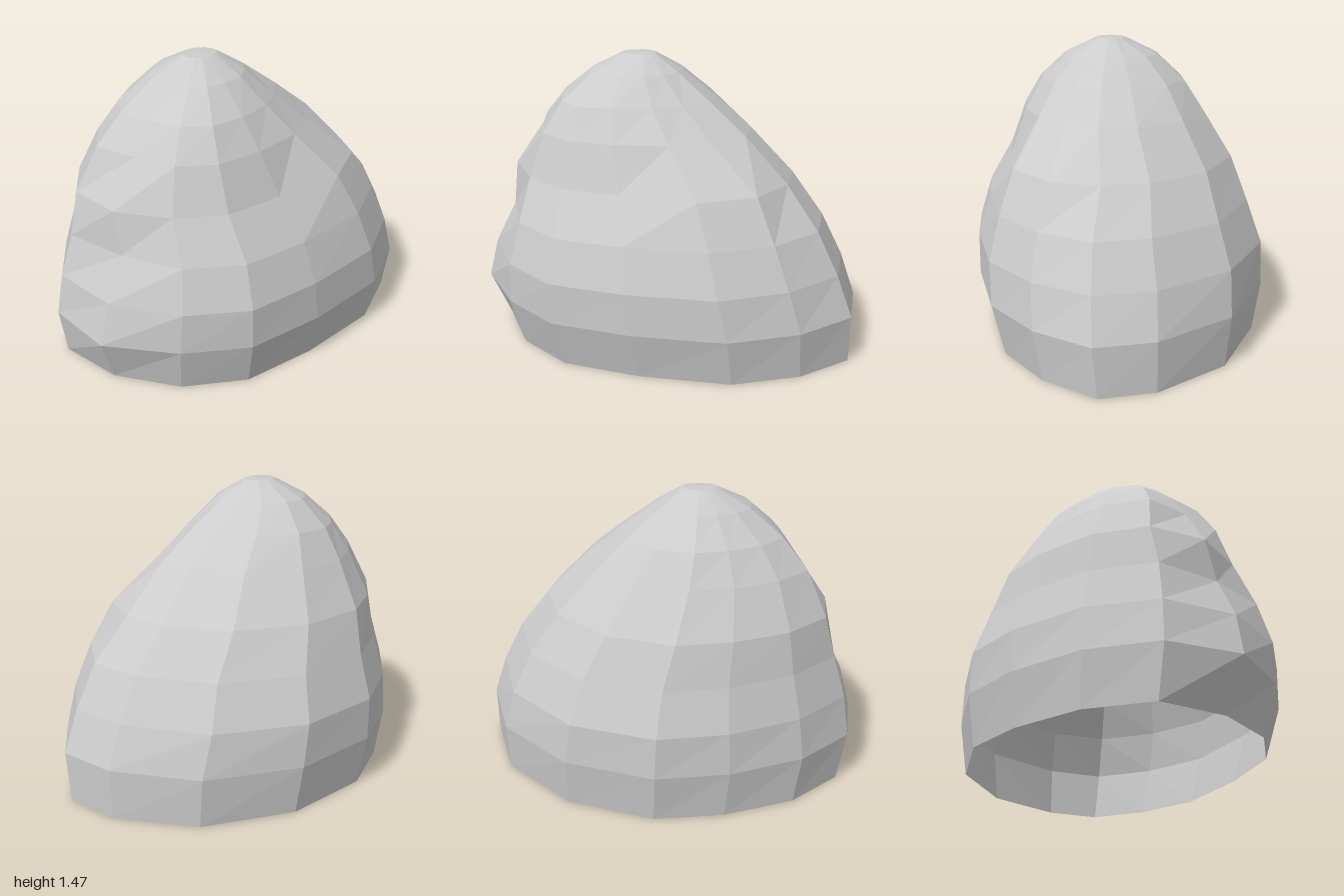
import * as THREE from 'three';

// Plan outline, x and z, starting at the right tip and running around the back
const OUTLINE = [
  [-1, 0.04], [-0.85, -0.28], [-0.57, -0.55], [-0.26, -0.73], [0.2, -0.76],
  [0.65, -0.57], [0.93, -0.22], [1, 0.07], [0.83, 0.35], [0.55, 0.58],
  [0.1, 0.71], [-0.3, 0.76], [-0.62, 0.64], [-0.92, 0.4],
];

// Rings from the ground up: height, x range, z range, corner factors
const RINGS = [
  { y: 0, x: [-0.96, 0.99], z: [-0.72, 0.685], dent: 0.95, bulge: 1 },
  { y: 0.25, x: [-1, 1], z: [-0.76, 0.76], dent: 1, bulge: 1 },
  { y: 0.46, x: [-0.965, 0.92], z: [-0.755, 0.765], dent: 0.97, bulge: 1.01 },
  { y: 0.67, x: [-0.9, 0.81], z: [-0.68, 0.7], dent: 0.92, bulge: 1.02 },
  { y: 0.88, x: [-0.85, 0.635], z: [-0.6, 0.58], dent: 0.98, bulge: 1.1 },
  { y: 1.1, x: [-0.74, 0.42], z: [-0.46, 0.5], dent: 0.89, bulge: 0.97 },
  { y: 1.25, x: [-0.61, 0.23], z: [-0.36, 0.41], dent: 0.9, bulge: 0.95 },
  { y: 1.38, x: [-0.44, 0.05], z: [-0.22, 0.27], dent: 0.95, bulge: 1 },
  { y: 1.465, x: [-0.27, -0.09], z: [-0.05, 0.1], dent: 1, bulge: 1 },
];

// Fit the outline into the ranges of one ring, with a dented and a bulging corner
function ringPoints({ y, x, z, dent, bulge }) {
  const cx = (x[0] + x[1]) / 2, cz = (z[0] + z[1]) / 2;
  const rx = (x[1] - x[0]) / 2, rz = (z[1] - z[0]) / 2;
  return OUTLINE.map(([u, v], i) => {
    const k = i === 13 ? dent : i === 8 || i === 9 ? bulge : 1;
    return [cx + u * rx * k, y, cz + (v / 0.76) * rz * k];
  });
}

export function createModel() {
  const n = OUTLINE.length;
  const positions = RINGS.flatMap(ringPoints);
  const index = [];

  // Walls between neighbouring rings
  for (let r = 0; r < RINGS.length - 1; r++) {
    for (let i = 0; i < n; i++) {
      const a = r * n + i, b = r * n + (i + 1) % n;
      index.push(a, a + n, b, b, a + n, b + n);
    }
  }

  // Summit cap; the underside stays open
  const last = (RINGS.length - 1) * n;
  const summit = positions.push([-0.17, 1.47, 0.03]) - 1;
  for (let i = 0; i < n; i++) index.push(last + (i + 1) % n, last + i, summit);

  const geometry = new THREE.BufferGeometry();
  geometry.setAttribute('position', new THREE.Float32BufferAttribute(positions.flat(), 3));
  geometry.setIndex(index);
  const faceted = geometry.toNonIndexed();
  faceted.computeVertexNormals();

  const rock = new THREE.Mesh(faceted, new THREE.MeshStandardMaterial({
    color: 0xcccccc, flatShading: true, side: THREE.DoubleSide,
  }));
  rock.name = 'rock';

  const group = new THREE.Group();
  group.name = 'boulder';
  group.add(rock);
  return group;
}
